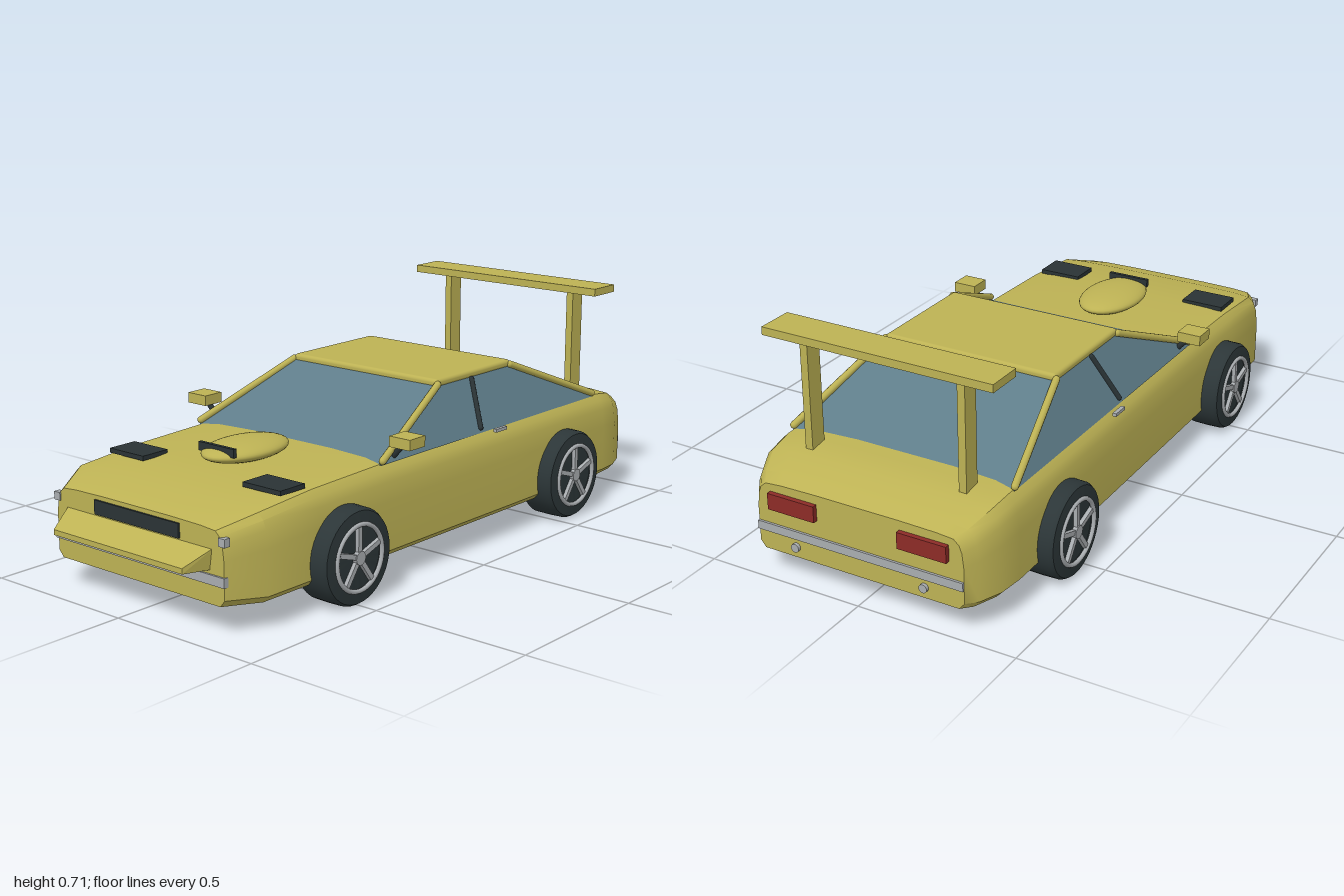
import * as THREE from 'three';
import { mergeGeometries, toCreasedNormals } from 'three/addons/utils/BufferGeometryUtils.js';
import { RoundedBoxGeometry } from 'three/addons/geometries/RoundedBoxGeometry.js';

const mat = (name, color) => new THREE.MeshStandardMaterial({ name, color });

// Closed loft through sections [z, halfWidth, bottom, top], rear to front
function loftBody(sections) {
  const half = (w, b, t) => {
    const h = t - b;
    return [[0.95 * w, b], [w, b + 0.02], [w, b + 0.6 * h], [0.985 * w, b + 0.8 * h],
      [0.96 * w, b + 0.9 * h], [0.91 * w, b + 0.97 * h], [0.75 * w, b + 0.99 * h], [0.4 * w, t]];
  };
  const pos = [], idx = [];
  let n = 0;
  for (const [z, w, b, t] of sections) {
    const right = half(w, b, t);
    const loop = [...right, ...right.map(([x, y]) => [-x, y]).reverse()];
    n = loop.length;
    loop.forEach(([x, y]) => pos.push(x, y, z));
  }
  const last = sections.length - 1;
  for (let i = 0; i < last; i++) for (let j = 0; j < n; j++) {
    const a = i * n + j, b = i * n + (j + 1) % n;
    idx.push(a, b, b + n, a, b + n, a + n);
  }
  // End caps
  for (const i of [0, last]) {
    const [z, , b, t] = sections[i], c = pos.length / 3;
    pos.push(0, (b + t) / 2, z);
    for (let j = 0; j < n; j++) {
      const p = i * n + j, q = i * n + (j + 1) % n;
      if (i) idx.push(c, p, q); else idx.push(c, q, p);
    }
  }
  const g = new THREE.BufferGeometry();
  g.setAttribute('position', new THREE.Float32BufferAttribute(pos, 3));
  g.setIndex(idx);
  return toCreasedNormals(g, 0.6);
}

// Box whose corners are moved by a rule of (sx, sy, sz), each -1 or 1
function shapedBox(rule) {
  const g = new THREE.BoxGeometry(2, 2, 2).toNonIndexed(), p = g.attributes.position;
  for (let i = 0; i < p.count; i++) p.setXYZ(i, ...rule(p.getX(i), p.getY(i), p.getZ(i)));
  g.computeVertexNormals();
  return g;
}

// Round bar between two points
function bar(a, b, r) {
  const curve = new THREE.LineCurve3(new THREE.Vector3(...a), new THREE.Vector3(...b));
  const parts = [new THREE.TubeGeometry(curve, 1, r, 10)];
  for (const e of [a, b]) parts.push(new THREE.SphereGeometry(r, 10, 8).translate(...e));
  return mergeGeometries(parts);
}

export function createModel() {
  const car = new THREE.Group();
  car.name = 'sportsCar';
  const paint = mat('yellowPaint', 0xbdb254);
  const glass = mat('blueGlass', 0x5f7d8a);
  const black = mat('blackTrim', 0x2a3335);
  const rubber = mat('tyreRubber', 0x2c3638);
  const silver = mat('silverMetal', 0xa9adb0);
  const red = mat('redLamp', 0x8c2b27);

  const add = (name, geo, material, parent = car) => {
    const m = new THREE.Mesh(geo, material);
    m.name = name;
    parent.add(m);
    return m;
  };
  const box = (name, material, w, h, d, x, y, z, parent) =>
    add(name, new THREE.BoxGeometry(w, h, d).translate(x, y, z), material, parent);

  // Main shell
  add('body', loftBody([
    [-0.985, 0.335, 0.085, 0.3], [-0.95, 0.36, 0.08, 0.318], [-0.88, 0.388, 0.08, 0.348],
    [-0.8, 0.396, 0.08, 0.36], [-0.3, 0.395, 0.08, 0.362], [0.31, 0.39, 0.08, 0.36],
    [0.6, 0.388, 0.08, 0.352], [0.81, 0.385, 0.08, 0.335], [0.92, 0.33, 0.085, 0.3],
  ]), paint);
  box('floorPan', black, 0.54, 0.022, 1.62, 0, 0.071, -0.03);

  // Glass house and roof
  add('cabinGlass', shapedBox((x, y, z) => y < 0
    ? [x * 0.365, 0.35, z > 0 ? 0.315 : -0.775]
    : [x * 0.283, 0.508, z > 0 ? -0.04 : -0.41]), glass);
  add('roof', new RoundedBoxGeometry(0.575, 0.026, 0.38, 3, 0.011).translate(0, 0.512, -0.225), paint);

  // Front lip, grille and bumpers
  add('frontLip', shapedBox((x, y, z) => z < 0
    ? [x * (y > 0 ? 0.29 : 0.28), y > 0 ? 0.245 : 0.18, 0.91]
    : [x * 0.255, y > 0 ? 0.2 : 0.184, 1]), paint);
  box('grille', black, 0.334, 0.042, 0.012, 0, 0.266, 0.92);
  box('frontBumperStrip', silver, 0.67, 0.028, 0.016, 0, 0.156, 0.918);
  box('rearBumperStrip', silver, 0.67, 0.026, 0.016, 0, 0.158, -0.984);

  // Hood scoop
  add('hoodScoop', new THREE.SphereGeometry(1, 32, 20).scale(0.097, 0.031, 0.154)
    .translate(0, 0.376, 0.491), paint);
  box('scoopIntake', black, 0.14, 0.026, 0.012, 0, 0.394, 0.605);

  // Rear wing
  box('wingPlane', paint, 0.734, 0.024, 0.115, 0, 0.696, -0.822);

  // Tyre profile, turned about the axle
  const tyre = new THREE.LatheGeometry([[0, -0.06], [0.1, -0.06], [0.134, -0.058], [0.141, -0.048],
    [0.142, 0], [0.141, 0.044], [0.134, 0.056], [0.1, 0.06], [0.096, 0.05], [0, 0.05]]
    .map(([r, y]) => new THREE.Vector2(r, y)), 40);
  const tyreGeo = toCreasedNormals(tyre, 0.6).rotateZ(-Math.PI / 2);
  const spokes = [new THREE.TorusGeometry(0.096, 0.007, 8, 40).rotateY(Math.PI / 2).translate(0.06, 0, 0),
    new THREE.CylinderGeometry(0.02, 0.02, 0.014, 16).rotateZ(Math.PI / 2).translate(0.058, 0, 0)];
  for (let i = 0; i < 5; i++) {
    spokes.push(new THREE.BoxGeometry(0.012, 0.088, 0.015).translate(0.056, 0.05, 0)
      .rotateX(i * Math.PI * 0.4));
  }
  const rimGeo = mergeGeometries(spokes);

  // Paired parts
  for (const s of [1, -1]) {
    const side = s > 0 ? 'left' : 'right';
    for (const [end, z] of [['Front', 0.505], ['Rear', -0.565]]) {
      const wheel = new THREE.Group();
      wheel.name = `${side}${end}Wheel`;
      wheel.position.set(s * 0.385, 0.142, z);
      wheel.rotation.y = s > 0 ? 0 : Math.PI;
      add('tyre', tyreGeo, rubber, wheel);
      add('rim', rimGeo, silver, wheel);
      car.add(wheel);
    }
    add(`${side}FrontPillar`, bar([s * 0.364, 0.362, 0.31], [s * 0.288, 0.51, -0.04], 0.011), paint);
    add(`${side}RearPillar`, bar([s * 0.364, 0.362, -0.77], [s * 0.288, 0.51, -0.41], 0.011), paint);
    add(`${side}DoorPillar`, bar([s * 0.361, 0.365, -0.162], [s * 0.291, 0.5, -0.206], 0.008), black);

    add(`${side}MirrorStem`, bar([s * 0.355, 0.365, 0.25], [s * 0.39, 0.402, 0.25], 0.009), black);
    box(`${side}Mirror`, paint, 0.075, 0.032, 0.07, s * 0.405, 0.416, 0.25);
    box(`${side}DoorHandle`, silver, 0.012, 0.01, 0.055, s * 0.391, 0.354, -0.222);

    box(`${side}HoodVent`, black, 0.14, 0.014, 0.098, s * 0.268, 0.353, 0.66);
    box(`${side}Headlight`, silver, 0.024, 0.024, 0.02, s * 0.326, 0.266, 0.914);
    box(`${side}TailLight`, red, 0.155, 0.05, 0.03, s * 0.2125, 0.247, -0.985);
    add(`${side}Exhaust`, new THREE.CylinderGeometry(0.013, 0.013, 0.03, 16)
      .rotateX(Math.PI / 2).translate(s * 0.21, 0.118, -0.98), silver);
    box(`${side}WingPost`, paint, 0.024, 0.34, 0.055, s * 0.251, 0.52, -0.823);
  }
  return car;
}
